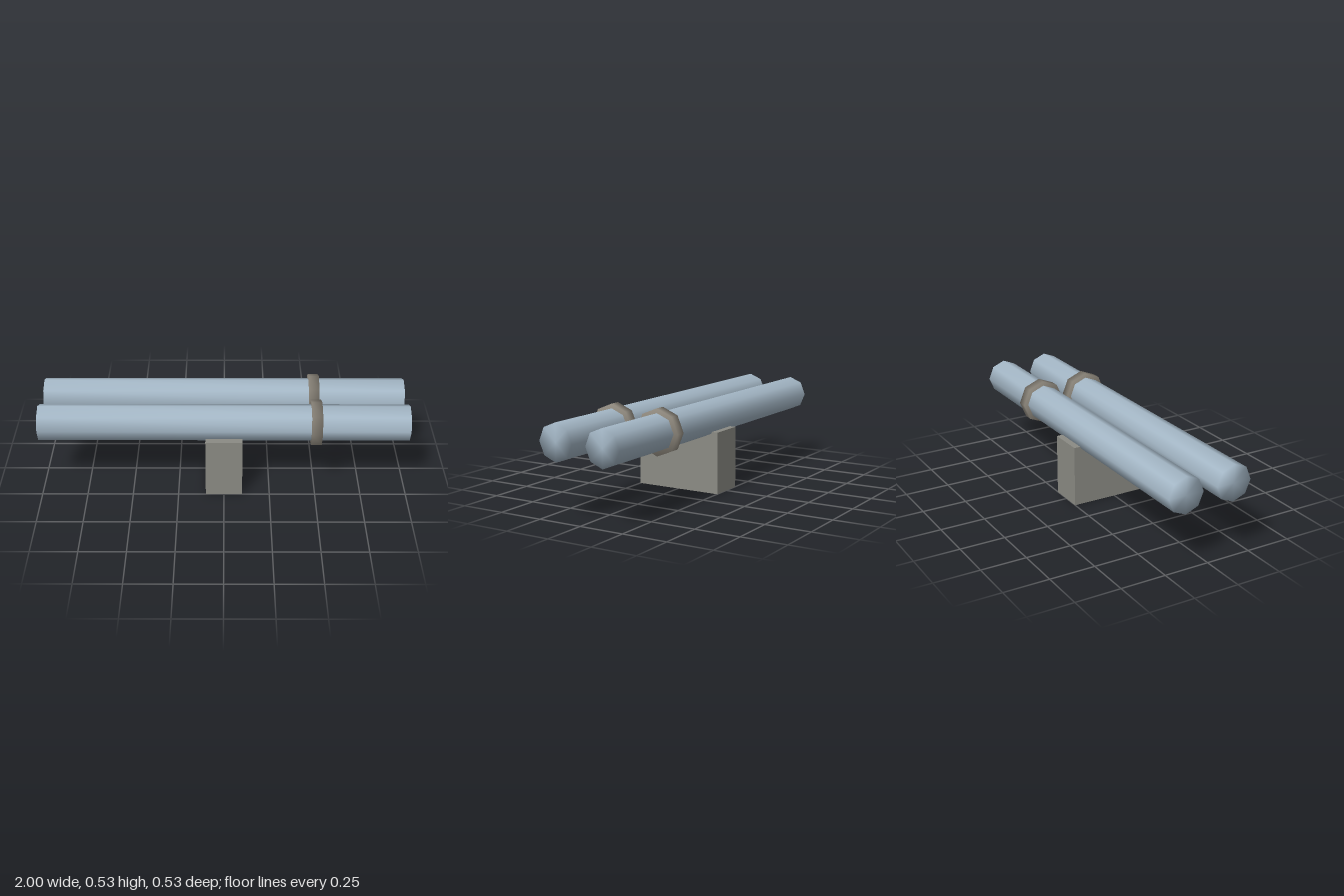
import * as THREE from 'three';
import { mergeVertices } from 'three/addons/utils/BufferGeometryUtils.js';

// Octagonal rod along x, with normals smoothed over the end rims
function rod(radius, length) {
  const geo = new THREE.CylinderGeometry(radius, radius, length, 8);
  geo.deleteAttribute('uv');
  geo.deleteAttribute('normal');
  const smooth = mergeVertices(geo);
  smooth.rotateZ(-Math.PI / 2);
  smooth.computeVertexNormals();
  return smooth;
}

export function createModel() {
  const model = new THREE.Group();
  const pipeBlue = new THREE.MeshStandardMaterial({ color: 0xa4b7c6 });
  pipeBlue.name = 'pipeBlue';
  const collarGrey = new THREE.MeshStandardMaterial({ color: 0x8d877c });
  collarGrey.name = 'collarGrey';
  const supportGrey = new THREE.MeshStandardMaterial({ color: 0x8b8b84 });
  supportGrey.name = 'supportGrey';

  function add(name, geometry, material, x, y, z) {
    const mesh = new THREE.Mesh(geometry, material);
    mesh.name = name;
    mesh.position.set(x, y, z);
    model.add(mesh);
  }

  // Support block under the middle of the pipes
  add('support', new THREE.BoxGeometry(0.2, 0.341, 0.502), supportGrey, 0, 0.1705, 0);

  // Two parallel pipes, each with a joint collar
  const pipe = rod(0.1, 2);
  const collar = rod(0.125, 0.057);
  for (const [side, z] of [['front', 0.14], ['back', -0.14]]) {
    add(side + 'Pipe', pipe, pipeBlue, 0, 0.401, z);
    add(side + 'Collar', collar, collarGrey, 0.498, 0.401, z);
  }
  return model;
}
